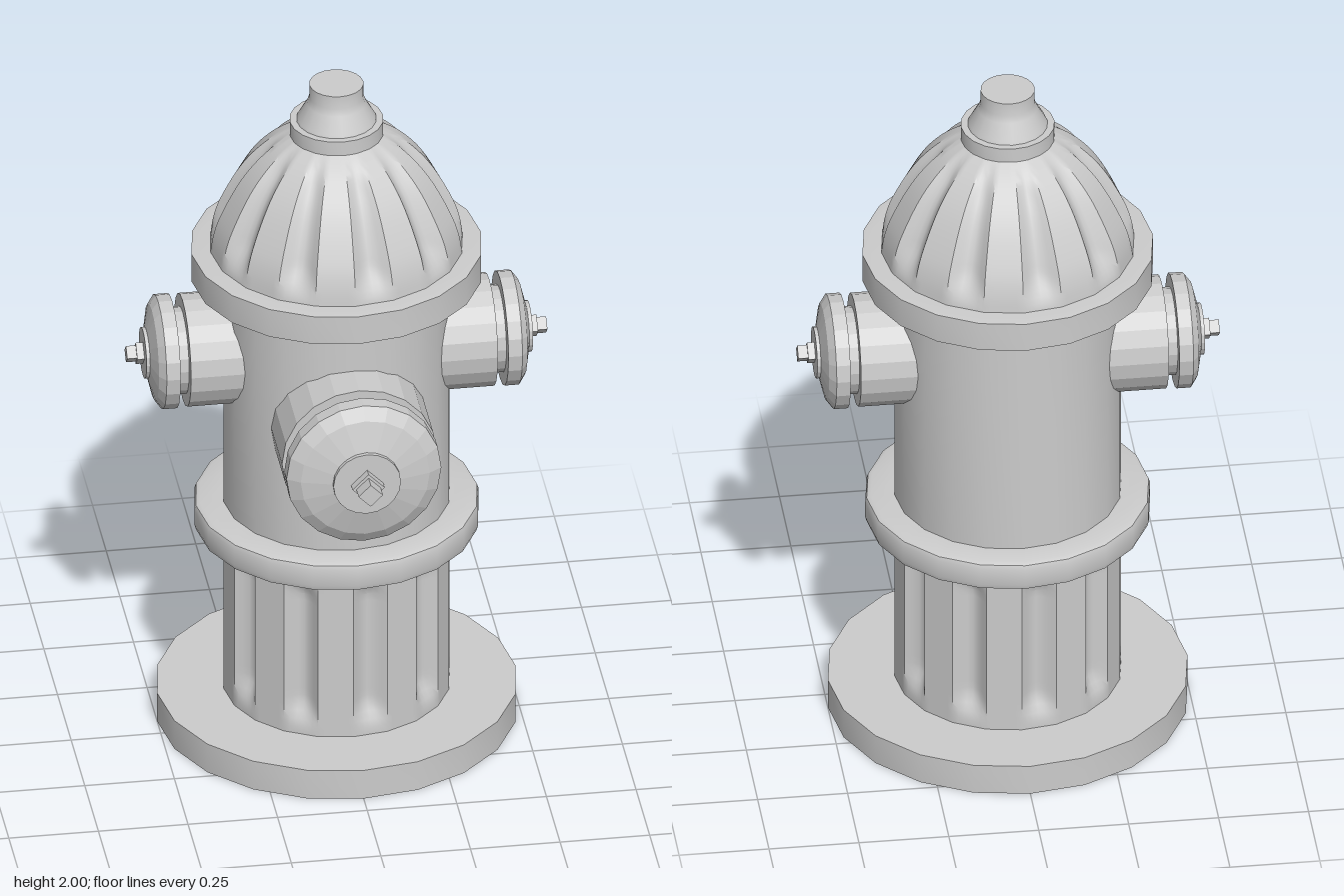
import * as THREE from 'three';
import { toCreasedNormals } from 'three/addons/utils/BufferGeometryUtils.js';

const SIDES = 20;
const AXIS_Z = -0.065;
const smooth = new THREE.MeshStandardMaterial({ color: 0xcccccc });
const faceted = new THREE.MeshStandardMaterial({ color: 0xcccccc, flatShading: true });

const toPoints = (list) => list.map(([r, y]) => new THREE.Vector2(r, y));

function addMesh(parent, name, geometry, material = smooth) {
  const mesh = new THREE.Mesh(geometry, material);
  mesh.name = name;
  parent.add(mesh);
  return mesh;
}

// Turned part with soft sides and sharp rims
function turned(parent, name, profile) {
  const geo = new THREE.LatheGeometry(toPoints(profile), SIDES);
  return addMesh(parent, name, toCreasedNormals(geo, 0.6));
}

// Turned part with a hollow pressed into every second of its 20 panels
function fluted(parent, name, points, y0, y1, fade, depth) {
  const perPanel = 6;
  const geo = new THREE.LatheGeometry(points, SIDES * perPanel);
  const pos = geo.attributes.position;
  const panel = (Math.PI * 2) / SIDES;
  for (let i = 0; i < pos.count; i++) {
    const x = pos.getX(i), y = pos.getY(i), z = pos.getZ(i);
    const r = Math.hypot(x, z);
    if (r < 1e-4) continue;
    const angle = (Math.atan2(x, z) + Math.PI * 2 + 1e-6) % (Math.PI * 2);
    const index = Math.floor(angle / panel);
    const t = angle / panel - index;
    let scale = Math.cos(panel / 2) / Math.cos((t - 0.5) * panel); // flat panels
    if (index % 2 === 0) {
      const ends = THREE.MathUtils.smoothstep(y, y0, y0 + fade)
        * (1 - THREE.MathUtils.smoothstep(y, y1 - fade, y1));
      scale -= depth * ends * Math.sin(Math.PI * t);
    }
    pos.setX(i, x * scale);
    pos.setZ(i, z * scale);
  }
  return addMesh(parent, name, toCreasedNormals(geo, 0.6));
}

// Hose outlet along +y: pipe, neck, domed cap and a stepped square nut
function outlet(name, profile, nuts) {
  const group = new THREE.Group();
  group.name = name;
  addMesh(group, 'outletCap', new THREE.LatheGeometry(toPoints(profile), SIDES), faceted);
  for (const [radius, from, to] of nuts) {
    const nut = addMesh(group, 'outletNut',
      new THREE.CylinderGeometry(radius, radius, to - from, 4), faceted);
    nut.position.y = (from + to) / 2;
  }
  return group;
}

export function createModel() {
  const model = new THREE.Group();
  model.name = 'hydrant';
  const column = new THREE.Group();
  column.name = 'column';
  column.position.z = AXIS_Z;
  model.add(column);

  turned(column, 'basePlate', [[0, 0], [0.5, 0], [0.5, 0.09], [0, 0.09]]);

  // Fluted lower barrel
  const barrel = [];
  for (let i = 0; i <= 24; i++) barrel.push(new THREE.Vector2(0.315, 0.09 + (0.52 * i) / 24));
  fluted(column, 'lowerBarrel', barrel, 0.11, 0.6, 0.08, 0.1);

  turned(column, 'middleRing', [[0.3, 0.6], [0.38, 0.6], [0.392, 0.606], [0.396, 0.62],
    [0.396, 0.67], [0.392, 0.682], [0.38, 0.688], [0.3, 0.688]]);
  turned(column, 'upperBarrel', [[0.315, 0.68], [0.315, 1.41]]);
  turned(column, 'upperRing', [[0.3, 1.4], [0.404, 1.4], [0.404, 1.487], [0.38, 1.49], [0.3, 1.49]]);

  // Fluted dome
  const domeCurve = new THREE.SplineCurve(toPoints([[0.352, 1.485], [0.344, 1.54], [0.325, 1.6],
    [0.28, 1.69], [0.235, 1.755], [0.18, 1.81], [0.12, 1.85]]));
  fluted(column, 'dome', domeCurve.getPoints(24), 1.49, 1.86, 0.1, 0.1);

  turned(column, 'topCollar', [[0.1, 1.835], [0.13, 1.835], [0.13, 1.887], [0.1, 1.887]]);
  turned(column, 'topSpindle', [[0.113, 1.88], [0.108, 1.895], [0.082, 1.94], [0.075, 1.96],
    [0.075, 2], [0, 2]]);

  // Large front outlet
  const front = outlet('frontOutlet', [[0.216, 0.1], [0.216, 0.357], [0.163, 0.357], [0.163, 0.397],
    [0.216, 0.397], [0.216, 0.44], [0.18, 0.464], [0.094, 0.488], [0.094, 0.5], [0, 0.5]],
  [[0.045, 0.49, 0.525], [0.034, 0.52, 0.565]]);
  front.rotation.x = Math.PI / 2;
  front.position.y = 1.045;
  model.add(front);

  // Pair of smaller side outlets
  for (const side of [1, -1]) {
    const arm = outlet(side > 0 ? 'leftOutlet' : 'rightOutlet',
      [[0.158, 0.15], [0.158, 0.427], [0.122, 0.427], [0.122, 0.456], [0.16, 0.456], [0.16, 0.495],
        [0.135, 0.513], [0.072, 0.528], [0.072, 0.538], [0, 0.538]],
      [[0.034, 0.53, 0.558], [0.026, 0.55, 0.585]]);
    arm.rotation.z = -side * Math.PI / 2;
    arm.position.set(0, 1.175, side > 0 ? -0.065 : -0.08);
    model.add(arm);
  }
  return model;
}
